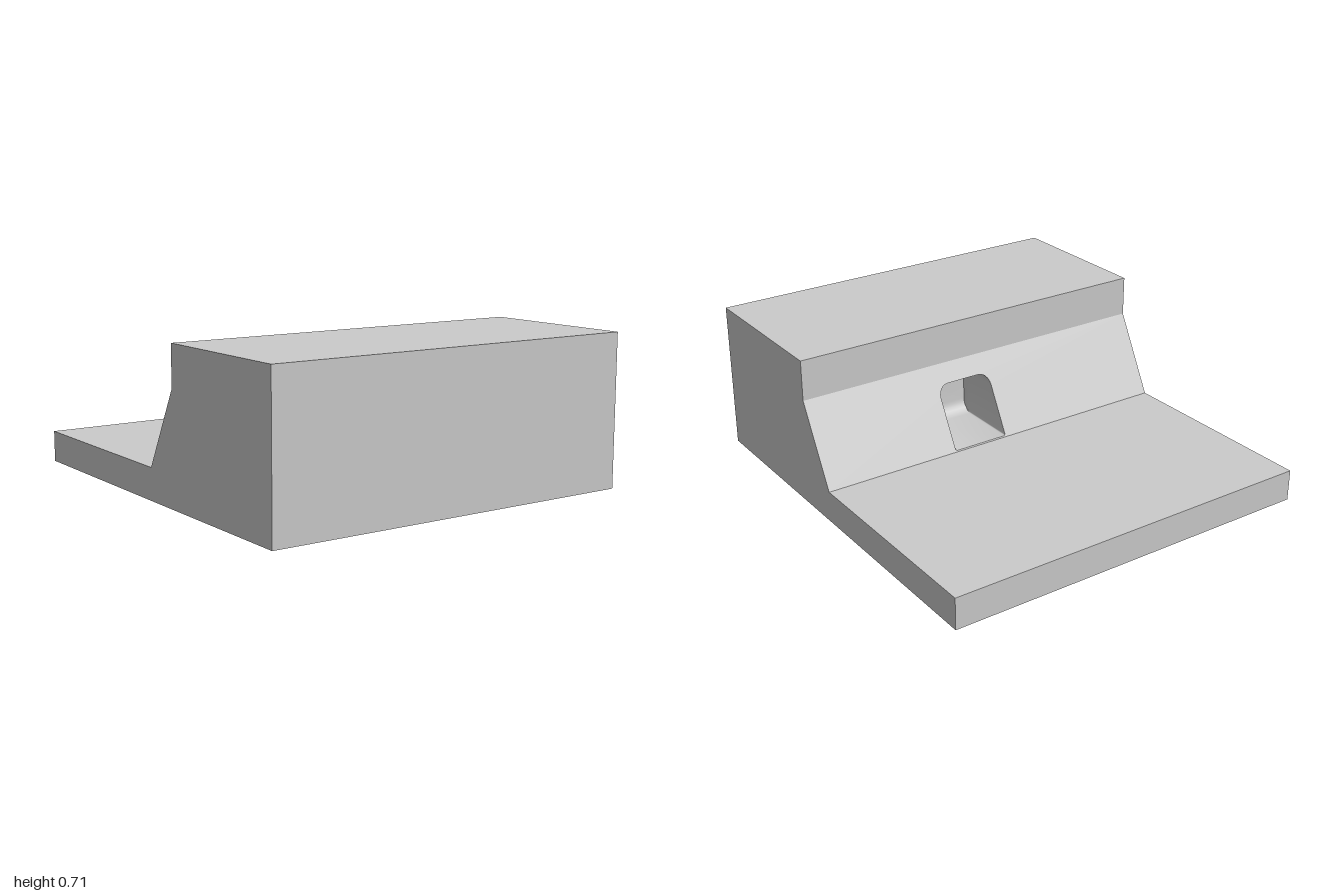
import * as THREE from 'three';
import { toCreasedNormals } from 'three/addons/utils/BufferGeometryUtils.js';

const W = 0.915; // half width
// Side profile as (z, y), counter-clockwise; edge SLOPE carries the pocket
const profile = [[-1, 0], [1, 0], [1, 0.715], [0.226, 0.715], [0.226, 0.522], [0.026, 0.15], [-1, 0.15]];
const SLOPE = 4;
const slopeZ = (y) => 0.026 + (y - 0.15) * (0.2 / 0.372);

function fromTriangles(pos) {
  const g = new THREE.BufferGeometry();
  g.setAttribute('position', new THREE.Float32BufferAttribute(pos, 3));
  return toCreasedNormals(g, 0.6);
}

const addQuad = (pos, a, b, c, d) => pos.push(...a, ...b, ...c, ...a, ...c, ...d);

// Triangulate a flat shape and place each corner with map(u, v)
function addShape(pos, shape, map, flip) {
  const g = new THREE.ShapeGeometry(shape);
  const p = g.attributes.position, idx = g.index.array;
  for (let i = 0; i < idx.length; i += 3) {
    const t = flip ? [idx[i], idx[i + 2], idx[i + 1]] : [idx[i], idx[i + 1], idx[i + 2]];
    t.forEach((k) => pos.push(...map(p.getX(k), p.getY(k))));
  }
}

// Pocket mouth outline in (x, y): nearly square below, rounded above
function mouthPoints() {
  const l = -0.043, r = 0.24, b = 0.156, t = 0.435, s = 0.01, R = 0.055;
  const arc = (x, y, rad, a0) => Array.from({ length: 7 }, (_, i) => {
    const a = a0 + (i / 6) * Math.PI / 2;
    return new THREE.Vector2(x + rad * Math.cos(a), y + rad * Math.sin(a));
  });
  return [
    ...arc(l + s, b + s, s, Math.PI), ...arc(r - s, b + s, s, Math.PI * 1.5),
    ...arc(r - R, t - R, R, 0), ...arc(l + R, t - R, R, Math.PI / 2),
  ];
}

export function createModel() {
  const group = new THREE.Group();
  const material = new THREE.MeshStandardMaterial({ color: 0xcccccc });
  const add = (name, pos) => {
    const mesh = new THREE.Mesh(fromTriangles(pos), material);
    mesh.name = name;
    group.add(mesh);
  };
  const mouth = mouthPoints();

  // Stepped block: every strip except the slope, plus both ends
  const body = [];
  profile.forEach(([z, y], i) => {
    if (i === SLOPE) return;
    const [z2, y2] = profile[(i + 1) % profile.length];
    addQuad(body, [W, y, z], [W, y2, z2], [-W, y2, z2], [-W, y, z]);
  });
  const side = new THREE.Shape(profile.map(([z, y]) => new THREE.Vector2(z, y)));
  addShape(body, side, (z, y) => [-W, y, z], false);
  addShape(body, side, (z, y) => [W, y, z], true);
  add('steppedBlock', body);

  // Slope with the pocket opening
  const slope = [];
  const face = new THREE.Shape([[-W, 0.15], [W, 0.15], [W, 0.522], [-W, 0.522]].map((p) => new THREE.Vector2(...p)));
  face.holes.push(new THREE.Path(mouth));
  addShape(slope, face, (x, y) => [x, y, slopeZ(y)], true);
  add('slopeFace', slope);

  // Pocket: level tunnel whose floor curves up into the back wall
  const back = 0.39, fillet = 0.06, floor = 0.156;
  const rings = [mouth.map((p) => [p.x, p.y, slopeZ(p.y)])];
  for (let i = 0; i <= 6; i++) {
    const a = (i / 6) * Math.PI / 2;
    const z = back - fillet + fillet * Math.sin(a);
    const low = floor + fillet * (1 - Math.cos(a));
    rings.push(mouth.map((p) => [p.x, Math.max(p.y, low), z]));
  }
  const pocket = [];
  for (let k = 0; k < rings.length - 1; k++) {
    mouth.forEach((_, i) => {
      const j = (i + 1) % mouth.length;
      addQuad(pocket, rings[k][i], rings[k + 1][i], rings[k + 1][j], rings[k][j]);
    });
  }
  const end = new THREE.Shape(rings.at(-1).map(([x, y]) => new THREE.Vector2(x, y)));
  addShape(pocket, end, (x, y) => [x, y, back], true);
  add('pocket', pocket);

  return group;
}
